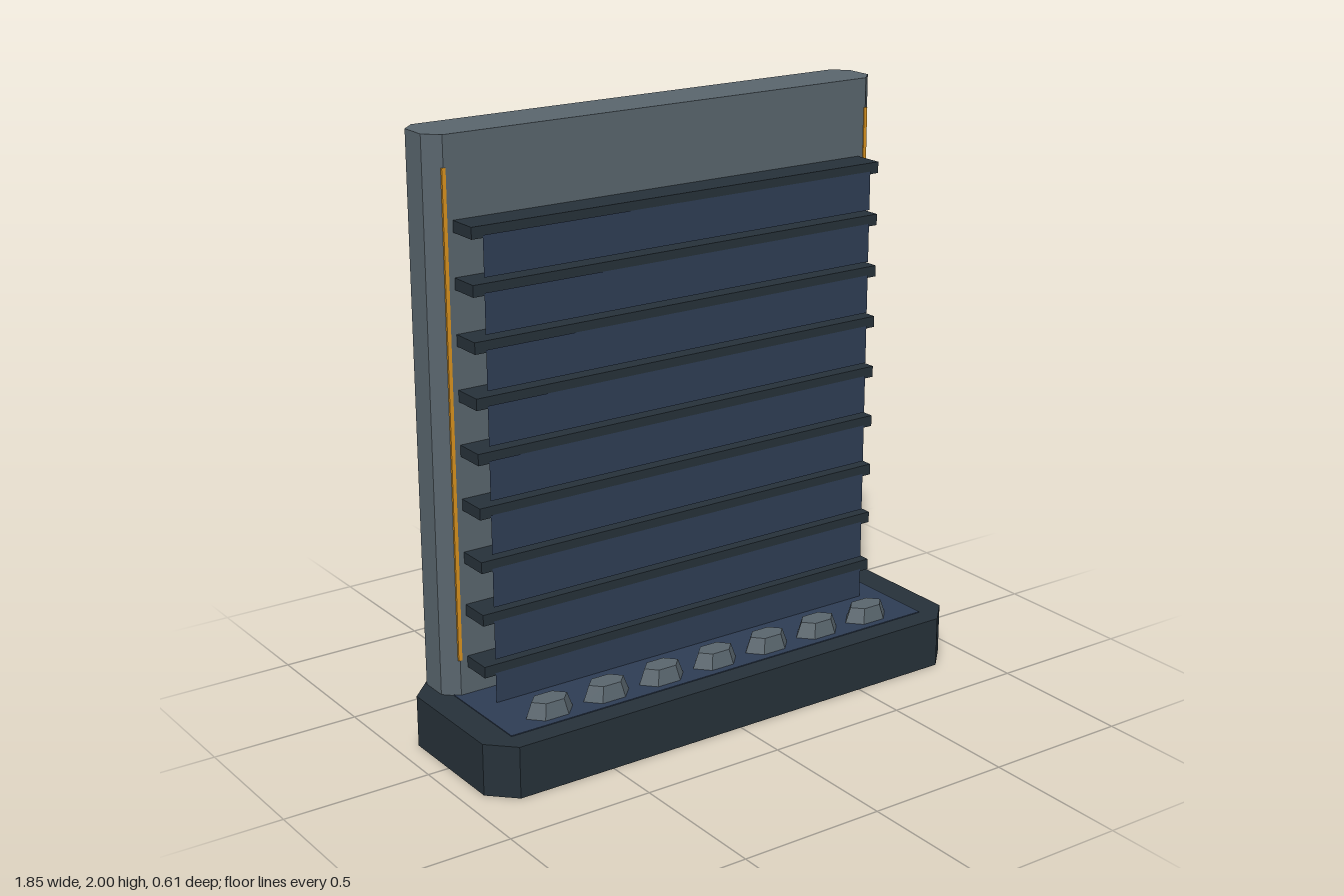
import * as THREE from 'three';

const paint = (name, color, side = THREE.FrontSide) => {
  const m = new THREE.MeshStandardMaterial({ color, side });
  m.name = name;
  return m;
};

export function createModel() {
  const slate = paint('slate grey', 0x59656d);
  const dark = paint('dark stone', 0x263139);
  const water = paint('water blue', 0x2e3d54, THREE.DoubleSide);
  const amber = paint('amber light', 0xd8921f);

  const model = new THREE.Group();
  model.name = 'waterWall';

  const add = (name, geometry, material, x = 0, y = 0, z = 0) => {
    const mesh = new THREE.Mesh(geometry, material);
    mesh.name = name;
    mesh.position.set(x, y, z);
    model.add(mesh);
    return mesh;
  };

  // Upright block whose four vertical corners are cut off
  const chamferedBlock = (halfW, zBack, zFront, y0, y1, c) => {
    const pts = [
      [halfW - c, zBack], [halfW, zBack + c], [halfW, zFront - c], [halfW - c, zFront],
      [c - halfW, zFront], [-halfW, zFront - c], [-halfW, zBack + c], [c - halfW, zBack],
    ].map(([x, z]) => new THREE.Vector2(x, -z));
    return new THREE.ExtrudeGeometry(new THREE.Shape(pts), { depth: y1 - y0, bevelEnabled: false })
      .rotateX(-Math.PI / 2).translate(0, y0, 0);
  };

  const baseTop = 0.175;
  add('base', chamferedBlock(0.927, -0.278, 0.303, 0, baseTop, 0.083), dark);
  add('backPanel', chamferedBlock(0.856, -0.303, -0.113, baseTop, 2, 0.047), slate);

  // Pool surface set into the top of the base
  add('pool', new THREE.BoxGeometry(1.654, 0.006, 0.426), water, 0, baseTop, 0.013);

  // Ledges, each with a sheet of water falling from its front edge
  const ledgeCount = 9, pitch = 0.1785, firstTop = 0.309;
  for (let i = 0; i < ledgeCount; i++) {
    const top = firstTop + i * pitch;
    add('ledge', new THREE.BoxGeometry(1.564, 0.038, 0.108), dark, 0, top - 0.019, -0.059);
    const sheetTop = top - 0.028;
    const sheetBottom = i === 0 ? baseTop : top - 0.159;
    add('waterSheet', new THREE.PlaneGeometry(1.49, sheetTop - sheetBottom), water,
      0, (sheetTop + sheetBottom) / 2, -0.001);
  }

  // Light strips along the front corners of the panel
  for (const side of [-1, 1]) {
    add('lightStrip', new THREE.BoxGeometry(0.013, 1.6, 0.007), amber, side * 0.809, 1.1, -0.1135);
  }

  // Row of six-sided pebbles in the pool
  const pebble = new THREE.CylinderGeometry(0.066, 0.088, 0.055, 6)
    .toNonIndexed().rotateY(Math.PI / 6).scale(1, 1, 0.62);
  pebble.computeVertexNormals();
  for (let i = -3; i <= 3; i++) {
    add('pebble', pebble, slate, i * 0.2145, baseTop + 0.0275, 0.154);
  }

  return model;
}
